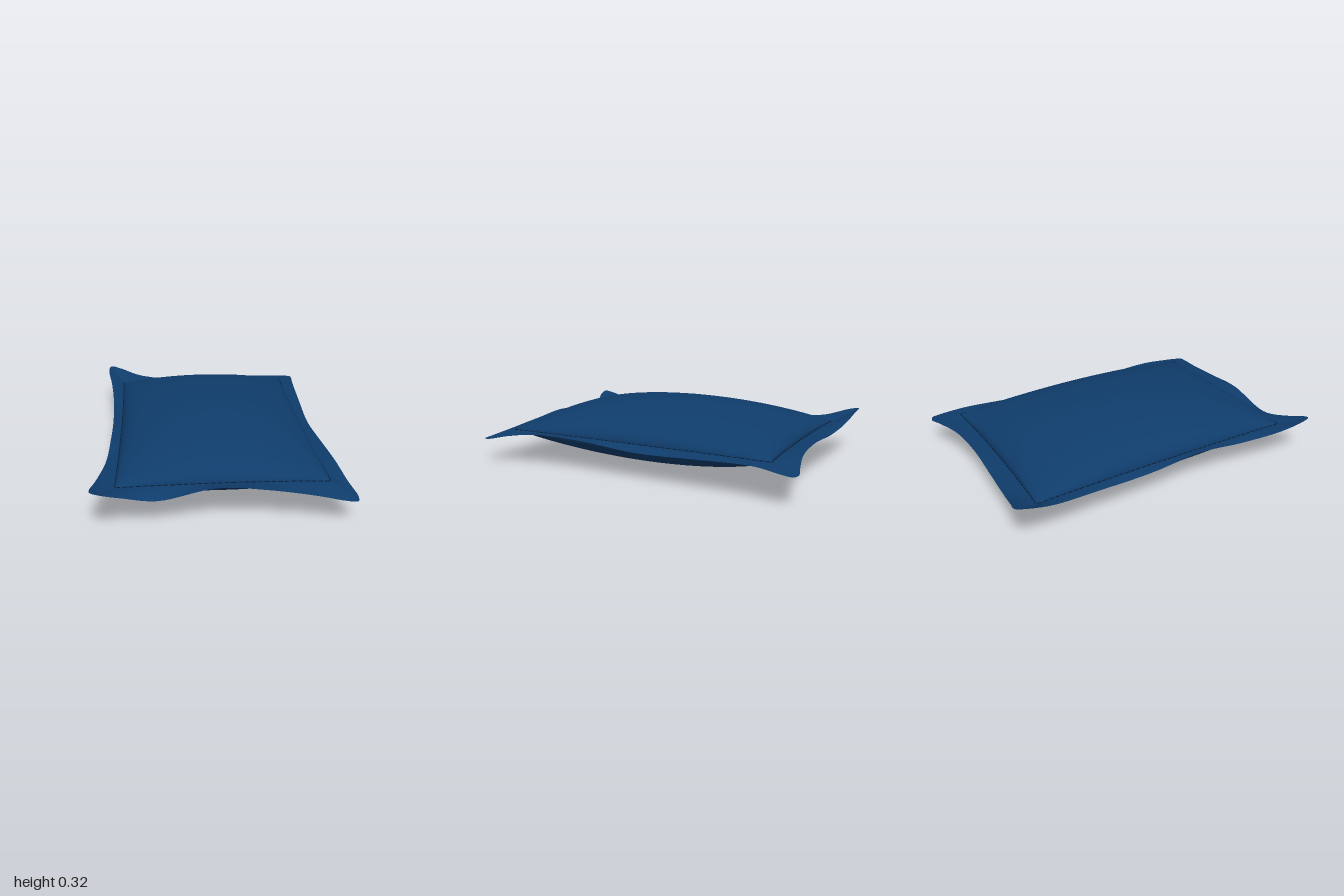
import * as THREE from 'three';
import { ParametricGeometry } from 'three/addons/geometries/ParametricGeometry.js';
import { mergeGeometries } from 'three/addons/utils/BufferGeometryUtils.js';

const SEAM_Y = 0.165;
// Seam corners in x,z: back, right, front, left
const SEAM = [[0.12, -0.85], [0.83, -0.18], [-0.14, 0.84], [-0.83, 0.18]];
// The same corners on the square -1..1
const SQUARE = [[-1, -1], [1, -1], [1, 1], [-1, 1]];

// Wavy rim of the flange, one list per side, each starting at its corner tip
const RIM = [
  [[0.15, 0.235, -1], [0.19, 0.22, -0.955], [0.26, 0.18, -0.86], [0.4, 0.158, -0.7], [0.58, 0.17, -0.52],
    [0.75, 0.165, -0.375], [0.9, 0.15, -0.285], [0.97, 0.14, -0.245]],
  [[0.985, 0.14, -0.21], [0.955, 0.145, -0.175], [0.85, 0.16, -0.09], [0.63, 0.15, 0.12], [0.42, 0.14, 0.325],
    [0.2, 0.165, 0.56], [0.04, 0.17, 0.75], [-0.06, 0.15, 0.88], [-0.12, 0.128, 0.975]],
  [[-0.155, 0.125, 0.995], [-0.195, 0.13, 0.955], [-0.26, 0.145, 0.865], [-0.4, 0.17, 0.7], [-0.56, 0.185, 0.54],
    [-0.75, 0.135, 0.365], [-0.88, 0.17, 0.28], [-0.96, 0.2, 0.24]],
  [[-0.985, 0.21, 0.21], [-0.965, 0.203, 0.175], [-0.86, 0.175, 0.085], [-0.68, 0.16, -0.06], [-0.5, 0.175, -0.235],
    [-0.3, 0.155, -0.455], [-0.1, 0.165, -0.69], [0.03, 0.185, -0.86], [0.105, 0.225, -0.97]],
];

// Maps the square onto the slightly pinched seam outline
function onSeamPlane(u, v, target) {
  const k = 0.02;
  const a = u * (1 - k * (1 - v * v)), b = v * (1 - k * (1 - u * u));
  let x = 0, z = 0;
  SEAM.forEach(([cx, cz], i) => {
    const w = (1 + SQUARE[i][0] * a) * (1 + SQUARE[i][1] * b) / 4;
    x += w * cx;
    z += w * cz;
  });
  return target.set(x, SEAM_Y, z);
}

// Point on the seam along one side, s from 0 to 1
function seamPoint(side, s, target) {
  const p = SQUARE[side], q = SQUARE[(side + 1) % 4];
  return onSeamPlane(p[0] + (q[0] - p[0]) * s, p[1] + (q[1] - p[1]) * s, target);
}

// One padded face; height is signed, so the lower face is the mirrored bulge
function paddedFace(height) {
  const up = height > 0;
  const geometry = new ParametricGeometry((s, t, target) => {
    const u = Math.sin((s - 0.5) * Math.PI), v = Math.sin((t - 0.5) * Math.PI);
    if (up) onSeamPlane(v, u, target);
    else onSeamPlane(u, v, target);
    target.y += height * Math.sqrt(Math.max(0, (1 - u * u) * (1 - v * v)));
  }, 56, 56);
  geometry.computeVertexNormals();
  return geometry;
}

// Thin wavy border lofted from the seam to the rim
function flangeGeometry() {
  const points = RIM.flat().map((p) => new THREE.Vector3(...p));
  const curve = new THREE.CatmullRomCurve3(points, true);
  const inner = new THREE.Vector3(), outer = new THREE.Vector3();
  const geometry = new ParametricGeometry((t, r, target) => {
    curve.getPoint(t % 1, outer);
    // Find the side this rim point belongs to
    let index = Math.floor((t % 1) * points.length + 1e-6), side = 0;
    while (side < 3 && index >= RIM[side].length) index -= RIM[side++].length;
    // Match it with the seam by projecting onto the side's chord
    const [ax, , az] = RIM[side][0], [bx, , bz] = RIM[(side + 1) % 4][0];
    const dx = bx - ax, dz = bz - az;
    const s = ((outer.x - ax) * dx + (outer.z - az) * dz) / (dx * dx + dz * dz);
    seamPoint(side, THREE.MathUtils.clamp(s, 0, 1), inner);
    target.lerpVectors(inner, outer, r);
    target.y = SEAM_Y + (outer.y - SEAM_Y) * Math.pow(r, 1.4);
  }, points.length * 8, 8);
  geometry.computeVertexNormals();
  return geometry;
}

// Fine dashes following the seam
function stitchGeometry() {
  const dashes = [], a = new THREE.Vector3(), b = new THREE.Vector3();
  for (let side = 0; side < 4; side++) {
    const count = side % 2 ? 46 : 32;
    for (let i = 0; i < count; i++) {
      seamPoint(side, (i + 0.15) / count, a);
      seamPoint(side, (i + 0.85) / count, b);
      const dash = new THREE.BoxGeometry(0.004, 0.005, a.distanceTo(b));
      dash.rotateY(Math.atan2(b.x - a.x, b.z - a.z));
      dash.translate((a.x + b.x) / 2 * 1.003, SEAM_Y, (a.z + b.z) / 2 * 1.003);
      dashes.push(dash);
    }
  }
  return mergeGeometries(dashes);
}

export function createModel() {
  const fabric = new THREE.MeshStandardMaterial({ color: 0x0f3c6b, side: THREE.DoubleSide });
  fabric.name = 'navy fabric';
  const thread = new THREE.MeshStandardMaterial({ color: 0x071c36 });
  thread.name = 'dark thread';

  const pillow = new THREE.Group();
  pillow.name = 'pillow';
  const add = (name, geometry, material) => {
    const mesh = new THREE.Mesh(geometry, material);
    mesh.name = name;
    pillow.add(mesh);
  };
  add('upperCushion', paddedFace(0.157), fabric);
  add('lowerCushion', paddedFace(-SEAM_Y), fabric);
  add('flange', flangeGeometry(), fabric);
  add('seamStitches', stitchGeometry(), thread);
  return pillow;
}
